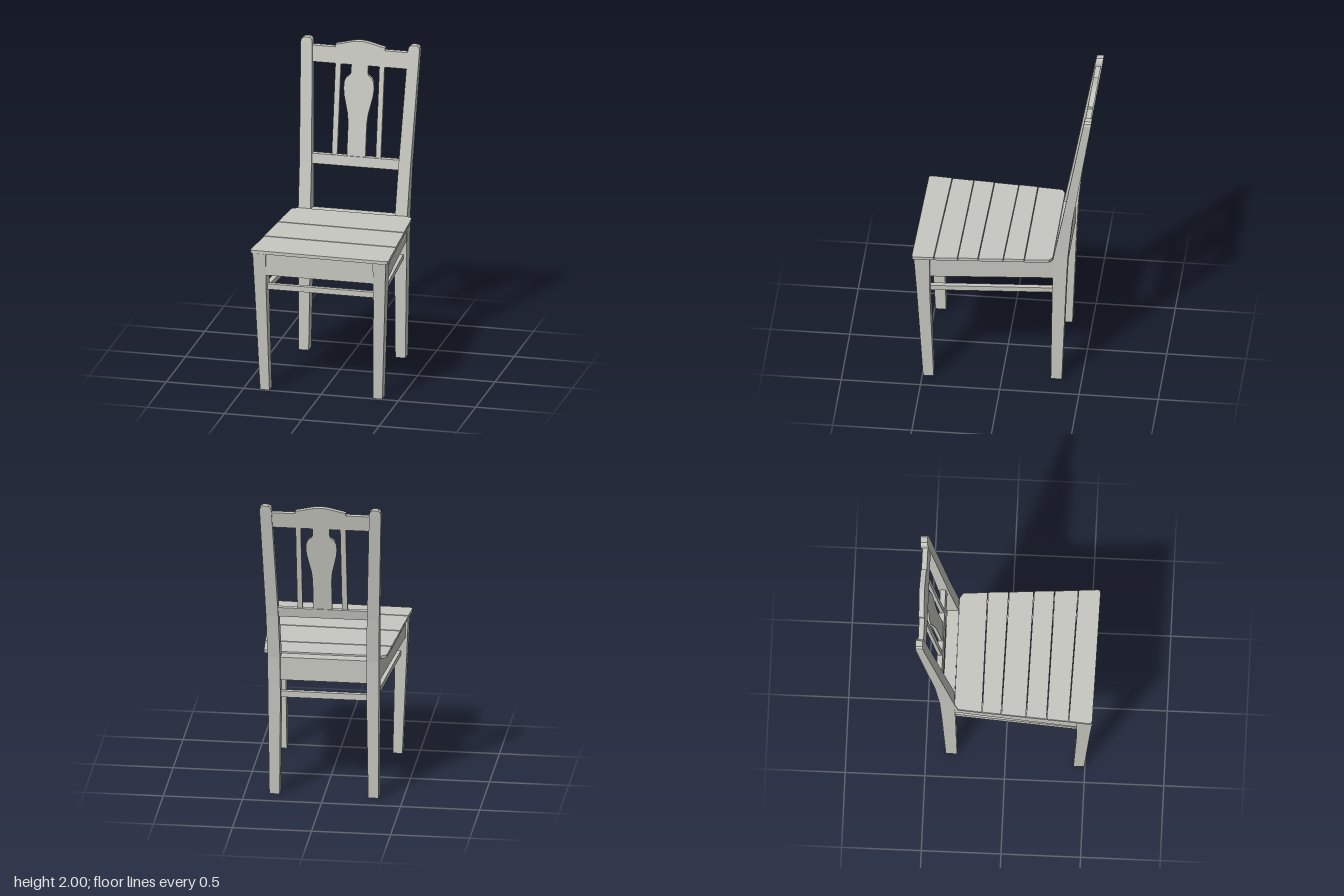
import * as THREE from 'three';

const paint = new THREE.MeshStandardMaterial({ color: 0xc8c8c2 });
paint.name = 'grey paint';
const wood = new THREE.MeshStandardMaterial({ color: 0x7a593d });
wood.name = 'bare wood';

// Skin a stack of rings (each counterclockwise from above, rising in y).
// bare lists faces left unpainted: 'bottom' or a side number.
function loft(name, rings, bare = []) {
  const pos = [[], []];
  const n = rings[0].length;
  const tri = (m, ...pts) => pts.forEach((p) => pos[m].push(...p));
  const base = rings[0], top = rings[rings.length - 1];
  const under = bare.includes('bottom') ? 1 : 0;
  for (let i = 1; i < n - 1; i++) {
    tri(under, base[0], base[i + 1], base[i]);
    tri(0, top[0], top[i], top[i + 1]);
  }
  for (let r = 0; r < rings.length - 1; r++) {
    for (let i = 0; i < n; i++) {
      const j = (i + 1) % n, a = rings[r], b = rings[r + 1];
      const m = bare.includes(i) ? 1 : 0;
      tri(m, a[i], a[j], b[j]);
      tri(m, a[i], b[j], b[i]);
    }
  }
  const geo = new THREE.BufferGeometry();
  geo.setAttribute('position', new THREE.Float32BufferAttribute([...pos[0], ...pos[1]], 3));
  geo.addGroup(0, pos[0].length / 3, 0);
  if (pos[1].length) geo.addGroup(pos[0].length / 3, pos[1].length / 3, 1);
  geo.computeVertexNormals();
  const mesh = new THREE.Mesh(geo, [paint, wood]);
  mesh.name = name;
  return mesh;
}

// Leg from sections [y, inner x, outer x, back z, front z]; side is 1 or -1
function leg(name, side, sections) {
  return loft(name, sections.map(([y, xi, xo, zb, zf]) => {
    const x0 = Math.min(side * xi, side * xo), x1 = Math.max(side * xi, side * xo);
    return [[x0, y, zf], [x1, y, zf], [x1, y, zb], [x0, y, zb]];
  }), ['bottom']);
}

// Level bar whose outer face runs from p to q (x, z), thickness t inwards
function bar(name, p, q, t, y0, y1, bare) {
  const dx = q[0] - p[0], dz = q[1] - p[1], l = Math.hypot(dx, dz);
  const ix = (dz / l) * t, iz = (-dx / l) * t;
  const pts = [p, q, [q[0] + ix, q[1] + iz], [p[0] + ix, p[1] + iz]];
  return loft(name, [y0, y1].map((y) => pts.map(([x, z]) => [x, y, z])), bare);
}

// Flat backrest part, sheared to follow the lean of the posts
function backPart(name, shape, depth, inset = 0) {
  const geo = new THREE.ExtrudeGeometry(shape, { depth, bevelEnabled: false, curveSegments: 8 });
  geo.translate(0, 0, -0.393 - inset - depth);
  const lean = new THREE.Matrix4().set(1, 0, 0, 0, 0, 1, 0, 0, 0, -1 / 6, 1, 1.21 / 6, 0, 0, 0, 1);
  geo.applyMatrix4(lean);
  geo.computeVertexNormals();
  const mesh = new THREE.Mesh(geo, paint);
  mesh.name = name;
  return mesh;
}

function rect(x0, x1, y0, y1) {
  return new THREE.Shape([[x0, y0], [x1, y0], [x1, y1], [x0, y1]].map((p) => new THREE.Vector2(...p)));
}

export function createModel() {
  const chair = new THREE.Group();
  chair.name = 'chair';

  // Legs and the posts that continue the rear legs
  for (const s of [1, -1]) {
    const tag = s > 0 ? 'left' : 'right';
    chair.add(leg(tag + 'FrontLeg', s, [
      [0, 0.335, 0.395, 0.428, 0.495],
      [0.65, 0.346, 0.42, 0.45, 0.532],
      [0.918, 0.346, 0.43, 0.45, 0.55],
    ]));
    chair.add(leg(tag + 'RearLegAndPost', s, [
      [0, 0.28, 0.345, -0.375, -0.305],
      [0.65, 0.272, 0.35, -0.4, -0.314],
      [0.93, 0.273, 0.352, -0.413, -0.322],
      [1.22, 0.28, 0.358, -0.443, -0.378],
      [1.97, 0.309, 0.384, -0.562, -0.514],
      [1.988, 0.314, 0.38, -0.564, -0.518],
      [2, 0.328, 0.366, -0.565, -0.521],
    ]));
    // Side stretchers
    const f = [s * 0.385, 0.47], b = [s * 0.328, -0.33];
    chair.add(s > 0 ? bar('leftStretcher', f, b, 0.032, 0.65, 0.683)
      : bar('rightStretcher', b, f, 0.032, 0.65, 0.683));
  }
  chair.add(bar('frontStretcher', [-0.36, 0.505], [0.36, 0.505], 0.03, 0.672, 0.708));
  chair.add(bar('rearStretcher', [0.29, -0.37], [-0.29, -0.37], 0.03, 0.65, 0.69));

  // Aprons, unpainted on the inside
  chair.add(bar('frontApron', [-0.36, 0.535], [0.36, 0.535], 0.035, 0.775, 0.918, [2]));
  chair.add(bar('leftApron', [0.415, 0.465], [0.348, -0.34], 0.035, 0.775, 0.918, [2]));
  chair.add(bar('rightApron', [-0.348, -0.34], [-0.415, 0.465], 0.035, 0.775, 0.918, [2]));
  chair.add(bar('rearApron', [0.29, -0.395], [-0.29, -0.395], 0.035, 0.775, 0.918, [2]));
  chair.add(bar('rearSeatStrip', [0.275, -0.395], [-0.275, -0.395], 0.074, 0.914, 0.926, ['bottom']));

  // Seat planks between slightly crooked joints [right z, left z]
  const joints = [[-0.32, -0.32], [-0.143, -0.142], [-0.022, -0.01], [0.134, 0.147],
    [0.264, 0.276], [0.402, 0.425], [0.548, 0.562]];
  const edge = (z) => 0.41 + 0.068 * z;
  for (let i = 0; i < 6; i++) {
    const [br, bl] = joints[i], g = i < 5 ? 0.004 : 0;
    const fr = joints[i + 1][0] - g, fl = joints[i + 1][1] - g;
    const front = i === 5
      ? [[-edge(fr) + 0.004, fr - 0.006], [-edge(fr) + 0.018, fr], [edge(fl) - 0.018, fl], [edge(fl) - 0.004, fl - 0.006], [edge(fl), fl - 0.02]]
      : [[-edge(fr), fr], [edge(fl), fl]];
    const back = i === 0
      ? [[0.388, -0.298], [0.355, -0.32], [-0.355, -0.32], [-0.388, -0.298]]
      : [[edge(bl), bl], [-edge(br), br]];
    const outline = [...front, ...back];
    if (i === 5) outline.push([-edge(fr), fr - 0.02]);
    const lift = 0.002 * (i % 2);
    chair.add(loft('seatPlank' + (i + 1),
      [0.917, 0.936 + lift].map((y) => outline.map(([x, z]) => [x, y, z])), ['bottom']));
  }

  // Backrest: crest rail, lower rail, slats and shaped splat
  const crest = new THREE.Shape();
  crest.moveTo(-0.308, 1.85);
  crest.lineTo(0.308, 1.85);
  crest.lineTo(0.312, 1.953);
  crest.lineTo(0.16, 1.953);
  crest.lineTo(0.16, 1.97);
  crest.bezierCurveTo(0.1, 1.98, 0.05, 2, 0, 2);
  crest.bezierCurveTo(-0.05, 2, -0.1, 1.98, -0.16, 1.97);
  crest.lineTo(-0.16, 1.953);
  crest.lineTo(-0.312, 1.953);
  chair.add(backPart('crestRail', crest, 0.034));
  chair.add(backPart('lowerBackRail', rect(-0.285, 0.285, 1.212, 1.275), 0.034));
  chair.add(backPart('leftSlat', rect(0.127, 0.16, 1.27, 1.855), 0.022, 0.006));
  chair.add(backPart('rightSlat', rect(-0.157, -0.122, 1.27, 1.855), 0.022, 0.006));

  const half = [[0.06, 1.27], [0.06, 1.48], [0.066, 1.54], [0.08, 1.6], [0.093, 1.655], [0.098, 1.7],
    [0.095, 1.74], [0.085, 1.765], [0.06, 1.785], [0.054, 1.8], [0.054, 1.855]];
  const splat = new THREE.Shape([...half, ...half.map(([x, y]) => [-x, y]).reverse()]
    .map((p) => new THREE.Vector2(...p)));
  chair.add(backPart('splat', splat, 0.022, 0.006));

  return chair;
}
